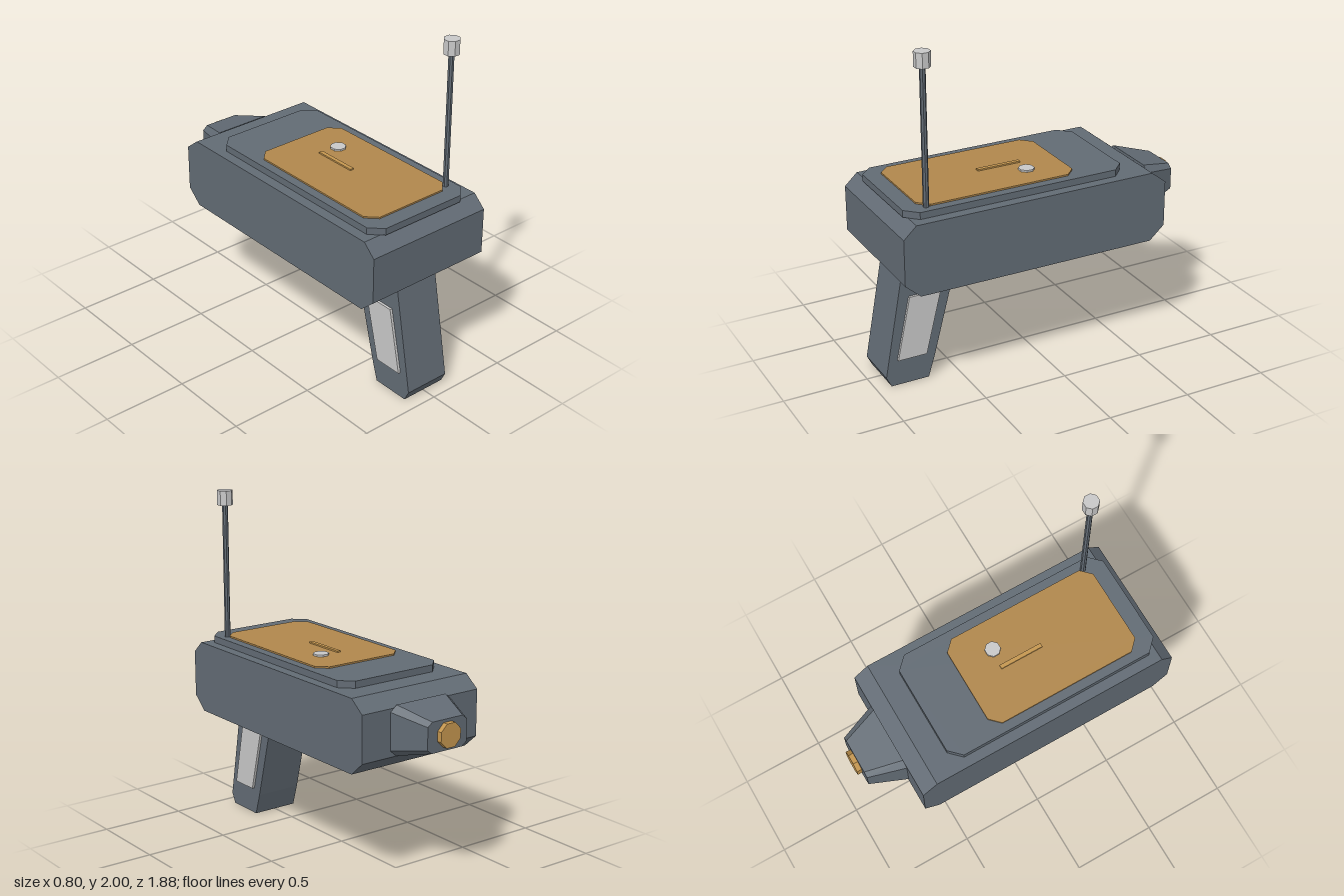
import * as THREE from 'three';
import { ConvexGeometry } from 'three/addons/geometries/ConvexGeometry.js';

const paint = (name, color) => {
  const m = new THREE.MeshStandardMaterial({ color, flatShading: true });
  m.name = name;
  return m;
};

export function createModel() {
  const slate = paint('slate', 0x626b74);
  const gold = paint('gold', 0xb0874c);
  const brightGold = paint('brightGold', 0xc4964f);
  const silver = paint('silver', 0xc8c8c8);

  const model = new THREE.Group();
  model.name = 'handheldScanner';

  const add = (name, geometry, material, x = 0, y = 0, z = 0) => {
    const mesh = new THREE.Mesh(geometry, material);
    mesh.name = name;
    mesh.position.set(x, y, z);
    model.add(mesh);
    return mesh;
  };
  const extrude = (points, depth) => new THREE.ExtrudeGeometry(
    new THREE.Shape(points.map(([a, b]) => new THREE.Vector2(a, b))),
    { depth, bevelEnabled: false });

  // Side profile in (z, y), extruded across x and centred
  const sideProfile = (points, width) =>
    extrude(points, width).translate(0, 0, -width / 2).rotateY(-Math.PI / 2);

  // Rectangle with cut corners
  const cutRect = (w, h, cx, cy) => [
    [w, h - cy], [w - cx, h], [cx - w, h], [-w, h - cy],
    [-w, cy - h], [cx - w, -h], [w - cx, -h], [w, cy - h],
  ];
  // Flat plate lying in xz, from y = bottom to y = top
  const plate = (name, w, z0, z1, cut, bottom, top, material) => add(name,
    extrude(cutRect(w, (z1 - z0) / 2, cut, cut), top - bottom).rotateX(Math.PI / 2),
    material, 0, top, (z0 + z1) / 2);

  // Eight-sided cylinder with flats facing the axes
  const octagon = (radius, height) =>
    new THREE.CylinderGeometry(radius, radius, height, 8).rotateY(Math.PI / 8);

  // Main body and handle
  add('body', sideProfile([
    [0.92, 0.75], [0.92, 1.02], [0.845, 1.09], [-0.61, 1.09],
    [-0.7, 1.02], [-0.7, 0.75], [-0.61, 0.67], [0.83, 0.67],
  ], 0.8), slate);
  add('grip', sideProfile([
    [0.83, 0.67], [0.51, 0.67], [0.53, 0.55], [0.64, 0.13],
    [0.68, 0], [0.91, 0], [0.94, 0.06],
  ], 0.28), slate);
  for (const [name, side] of [['leftGripPanel', 1], ['rightGripPanel', -1]]) {
    add(name, sideProfile([[0.79, 0.54], [0.6, 0.54], [0.695, 0.16], [0.87, 0.16]], 0.016),
      silver, side * 0.147);
  }

  // Top plates and controls
  plate('topPlate', 0.34, -0.475, 0.865, 0.07, 1.09, 1.13, slate);
  plate('screen', 0.287, -0.19, 0.77, 0.06, 1.13, 1.139, gold);
  add('screenNeedle', new THREE.BoxGeometry(0.024, 0.009, 0.265), brightGold, 0, 1.143, 0.157);
  add('knob', octagon(0.046, 0.014), silver, 0.115, 1.143, 0.04);

  // Antenna
  add('antennaRod', octagon(0.017, 0.8), slate, 0.285, 1.53, 0.735);
  add('antennaTip', octagon(0.046, 0.085), silver, 0.285, 1.9575, 0.735);

  // Tapered nozzle with an emitter at its end
  const ring = (w, h, cx, cy, z) =>
    cutRect(w, h, cx, cy).map(([x, y]) => new THREE.Vector3(x, y, z));
  add('nozzle', new ConvexGeometry([
    ...ring(0.21, 0.142, 0.04, 0.035, -0.7),
    ...ring(0.135, 0.087, 0.03, 0.024, -0.915),
  ]), slate, 0, 0.893, 0);
  add('emitter', octagon(0.073, 0.035).rotateX(Math.PI / 2), brightGold, 0, 0.895, -0.927);

  return model;
}
